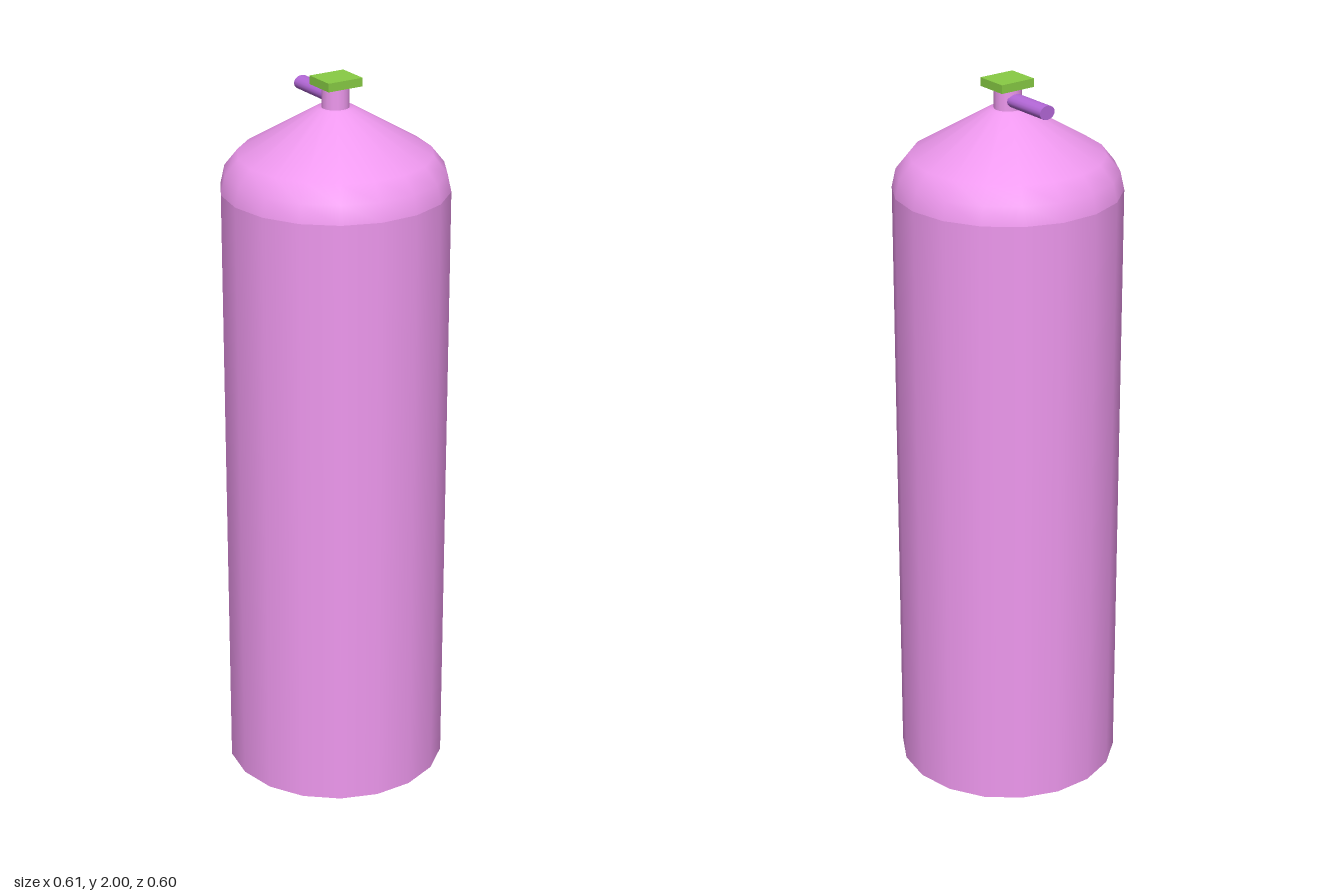
import * as THREE from 'three';

const SIDES = 18;

export function createModel() {
  const group = new THREE.Group();
  const pink = new THREE.MeshStandardMaterial({ color: 0xee98ee });
  const purple = new THREE.MeshStandardMaterial({ color: 0xb468d8 });
  const green = new THREE.MeshStandardMaterial({ color: 0x88cc44 });

  const add = (name, geometry, material, x = 0, y = 0, z = 0) => {
    const mesh = new THREE.Mesh(geometry, material);
    mesh.name = name;
    mesh.position.set(x, y, z);
    group.add(mesh);
    return mesh;
  };

  // Straight tank wall with a flat base, one corner on the x axis
  const wall = new THREE.CylinderGeometry(0.307, 0.307, 1.7, SIDES, 1, false, Math.PI / 2);
  add('tankBody', wall, pink, 0, 0.85);

  // Rounded shoulder running into a cone
  const shoulder = [[0.307, 1.7], [0.296, 1.75], [0.26, 1.795], [0.05, 1.92], [0, 1.92]]
    .map(([r, y]) => new THREE.Vector2(r, y));
  add('shoulder', new THREE.LatheGeometry(shoulder, SIDES, Math.PI / 2), pink);

  // Valve neck
  add('valveNeck', new THREE.CylinderGeometry(0.037, 0.037, 0.065, 16), pink, 0, 1.948);

  // Slightly flattened outlet pointing backwards
  const outlet = new THREE.CylinderGeometry(0.024, 0.024, 0.145, 16);
  outlet.rotateX(Math.PI / 2).scale(1, 0.79, 1);
  add('outletPipe', outlet, purple, 0, 1.946, -0.093);

  // Square handle on top
  add('valveHandle', new THREE.BoxGeometry(0.104, 0.023, 0.092), green, 0.002, 1.9885);

  return group;
}
